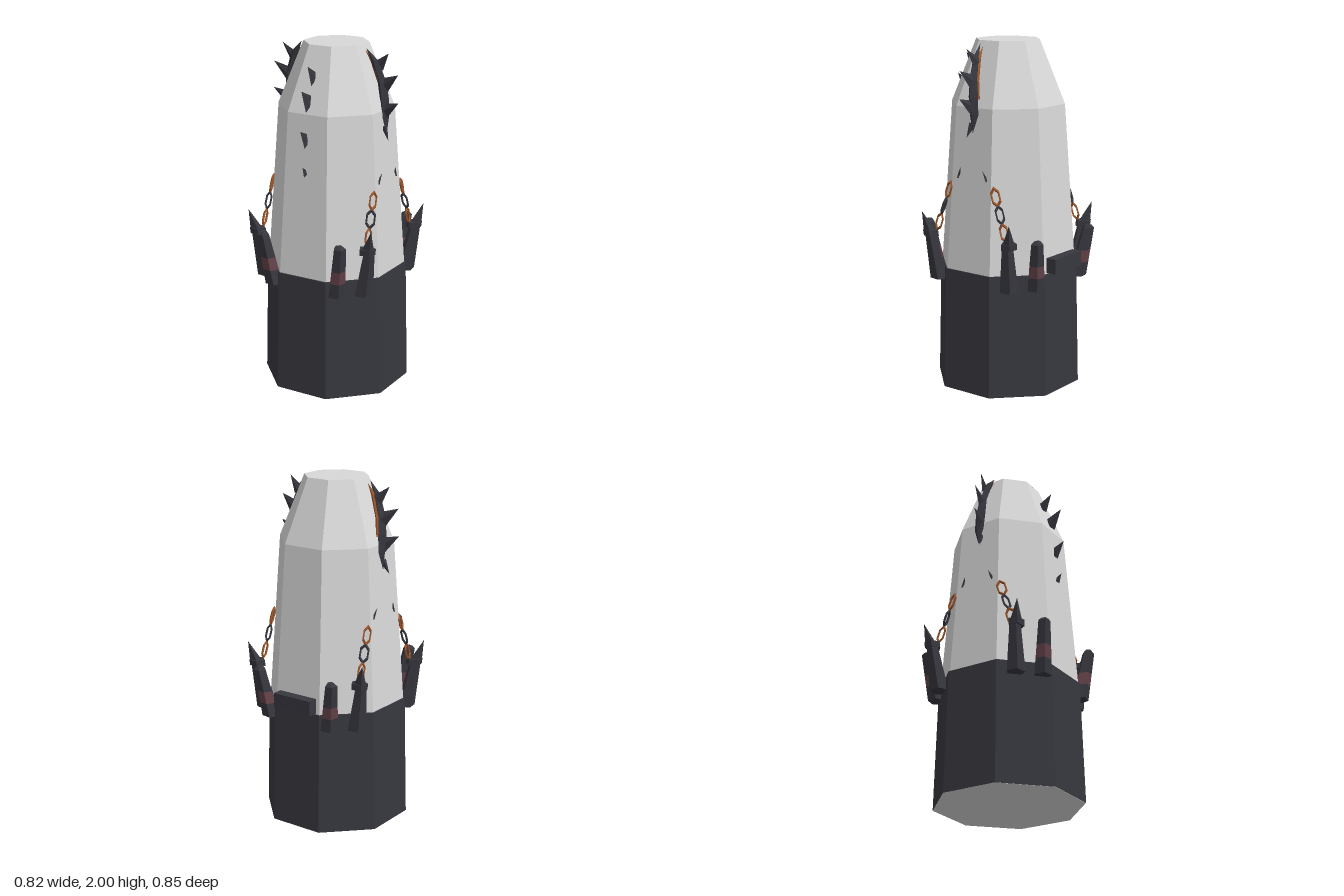
import * as THREE from 'three';

export function createModel() {
  const model = new THREE.Group();
  const mat = (name, color) => new THREE.MeshStandardMaterial({ name, color, flatShading: true });
  const pale = mat('pale stone', 0xd8d8d8);
  const iron = mat('dark iron', 0x37373f);
  const rust = mat('rust', 0x9a552b);
  const maroon = mat('maroon band', 0x64424a);

  const add = (name, geometry, material) => {
    const mesh = new THREE.Mesh(geometry, material);
    mesh.name = name;
    model.add(mesh);
    return mesh;
  };

  // Octagonal shell with flats facing the axes; profile is [apothem, y]
  const octagon = (name, profile, material) => {
    const pts = profile.map(([a, y]) => new THREE.Vector2(a / Math.cos(Math.PI / 8), y));
    const g = new THREE.LatheGeometry(pts, 8, Math.PI / 8);
    g.translate(0, 0, 0.003);
    return add(name, g, material);
  };

  // Skin over horizontal rings [x, y, z, rx, rz] listed upward, mirrored by sx and sz
  const loft = (name, rings, sides, material, sx = 1, sz = 1, phase = Math.PI / 4) => {
    const pos = [], idx = [];
    const tri = (a, b, c) => (sx * sz > 0 ? idx.push(a, b, c) : idx.push(a, c, b));
    for (const [x, y, z, rx, rz] of rings) {
      for (let i = 0; i < sides; i++) {
        const a = phase + (i / sides) * Math.PI * 2;
        pos.push(sx * (x + rx * Math.cos(a)), y, sz * (z + rz * Math.sin(a)));
      }
    }
    const last = (rings.length - 1) * sides;
    for (let r = 0; r < last; r += sides) {
      for (let i = 0; i < sides; i++) {
        const j = (i + 1) % sides;
        tri(r + i, r + sides + i, r + j);
        tri(r + j, r + sides + i, r + sides + j);
      }
    }
    for (let i = 1; i < sides - 1; i++) {
      tri(0, i, i + 1);
      tri(last, last + i + 1, last + i);
    }
    const g = new THREE.BufferGeometry();
    g.setAttribute('position', new THREE.Float32BufferAttribute(pos, 3));
    g.setIndex(idx);
    g.computeVertexNormals();
    return add(name, g, material);
  };

  // Four-sided thorn from base to tip, with separate radii in x and z
  const up = new THREE.Vector3(0, 1, 0);
  const thorn = (name, base, tip, rx, rz) => {
    const b = new THREE.Vector3(...base), t = new THREE.Vector3(...tip);
    const dir = t.clone().sub(b);
    const g = new THREE.ConeGeometry(1, 1, 4);
    g.scale(rx, dir.length(), rz);
    const mesh = add(name, g, iron);
    mesh.position.copy(b).add(t).multiplyScalar(0.5);
    mesh.quaternion.setFromUnitVectors(up, dir.normalize());
  };

  // Tower and its dark footing
  octagon('tower', [[0, 0], [0.393, 0], [0.37, 0.71], [0.308, 1.64], [0.172, 2], [0, 2]], pale);
  octagon('footing', [[0.395, 0], [0.378, 0.71], [0.35, 0.71]], iron);

  // Row of thorns down the front
  [
    [1.82, 0.235, 1.905, 0.305, 0.045], [1.69, 0.285, 1.78, 0.37, 0.055],
    [1.485, 0.31, 1.56, 0.385, 0.045], [1.305, 0.33, 1.35, 0.365, 0.025],
  ].forEach(([y0, z0, y1, z1, r]) => thorn('frontThorn', [0, y0, z0], [0, y1, z1], 0.009, r));
  thorn('topThorn', [0, 1.96, 0.165], [0, 2, 0.178], 0.006, 0.012);

  // Crossbar at the back
  add('backBar', new THREE.BoxGeometry(0.255, 0.085, 0.062), iron).position.set(-0.002, 0.758, -0.395);

  const crest = [
    [0.325, 1.5, 0, 0, 0], [0.315, 1.6, -0.002, 0.022, 0.03], [0.312, 1.7, 0.005, 0.029, 0.033],
    [0.3, 1.8, 0.013, 0.028, 0.026], [0.258, 1.92, 0.026, 0.024, 0.016], [0.21, 1.985, 0.035, 0, 0],
  ];
  const inlay = crest.slice(2).map(([x, y, z, rx, rz]) => [x - 0.012, y - 0.012, z - 0.01, rx * 0.75, rz * 0.8]);

  for (const sx of [1, -1]) {
    // Curved side crest with a rusty inner edge and horns
    loft('crest', crest, 4, iron, sx, 1, 0);
    loft('crestInlay', inlay, 4, rust, sx, 1, 0);
    [
      [0.275, 1.885, 0.345, 1.965, 0.035], [0.305, 1.78, 0.405, 1.85, 0.045],
      [0.31, 1.64, 0.41, 1.695, 0.045], [0.315, 1.55, 0.35, 1.475, 0.02],
    ].forEach(([x0, y0, x1, y1, r]) =>
      thorn('crestHorn', [sx * x0, y0, 0.01], [sx * x1, y1, 0.025], r, 0.018));

    for (const sz of [1, -1]) {
      // Corner claw: stake, cuff and point
      loft('stake', [[0.325, 0.63, 0.25, 0.055, 0.055], [0.372, 0.9, 0.275, 0.033, 0.033]], 5, iron, sx, sz);
      loft('stakeCuff', [[0.36, 0.885, 0.277, 0.05, 0.045], [0.364, 0.92, 0.28, 0.05, 0.045]], 5, iron, sx, sz);
      loft('stakePoint', [[0.372, 0.915, 0.285, 0.036, 0.032], [0.406, 1.03, 0.312, 0, 0]], 4, iron, sx, sz);

      // Leaning post with a band around it
      const drop = sz < 0 ? 0.02 : 0;
      const ring = (t) => [0.207 + 0.045 * t, 0.63 + (0.3 - drop) * t, 0.35 + 0.04 * t, 0.052 - 0.016 * t, 0.052 - 0.016 * t];
      loft('postFoot', [ring(0), ring(0.29)], 5, iron, sx, sz);
      loft('postBand', [ring(0.29), ring(0.54)], 5, maroon, sx, sz);
      loft('postTop', [ring(0.54), ring(1), [0.25, 0.947 - drop, 0.392, 0.02, 0.02]], 5, iron, sx, sz);

      // Three-link chain from the wall to the claw
      const top = new THREE.Vector3(sx * 0.334, 1.21, sz * 0.152);
      const end = new THREE.Vector3(sx * 0.347, 0.92, sz * 0.25);
      const dir = top.clone().sub(end).normalize();
      [0.83, 0.5, 0.17].forEach((t, i) => {
        const g = new THREE.TorusGeometry(0.03, 0.007, 4, 6);
        g.rotateZ(Math.PI / 2);
        g.scale(0.85, 1.65, 1);
        g.rotateY([1.2, 0.35, 1.4][i] * sx * sz);
        const link = add('chainLink', g, i === 1 ? iron : rust);
        link.position.lerpVectors(end, top, t);
        link.quaternion.setFromUnitVectors(up, dir);
      });

      // Small thorn beside the chain
      thorn('sideThorn', [sx * 0.328, 1.24, sz * 0.102], [sx * 0.342, 1.3, sz * 0.078], 0.012, 0.012);
    }
  }
  return model;
}
